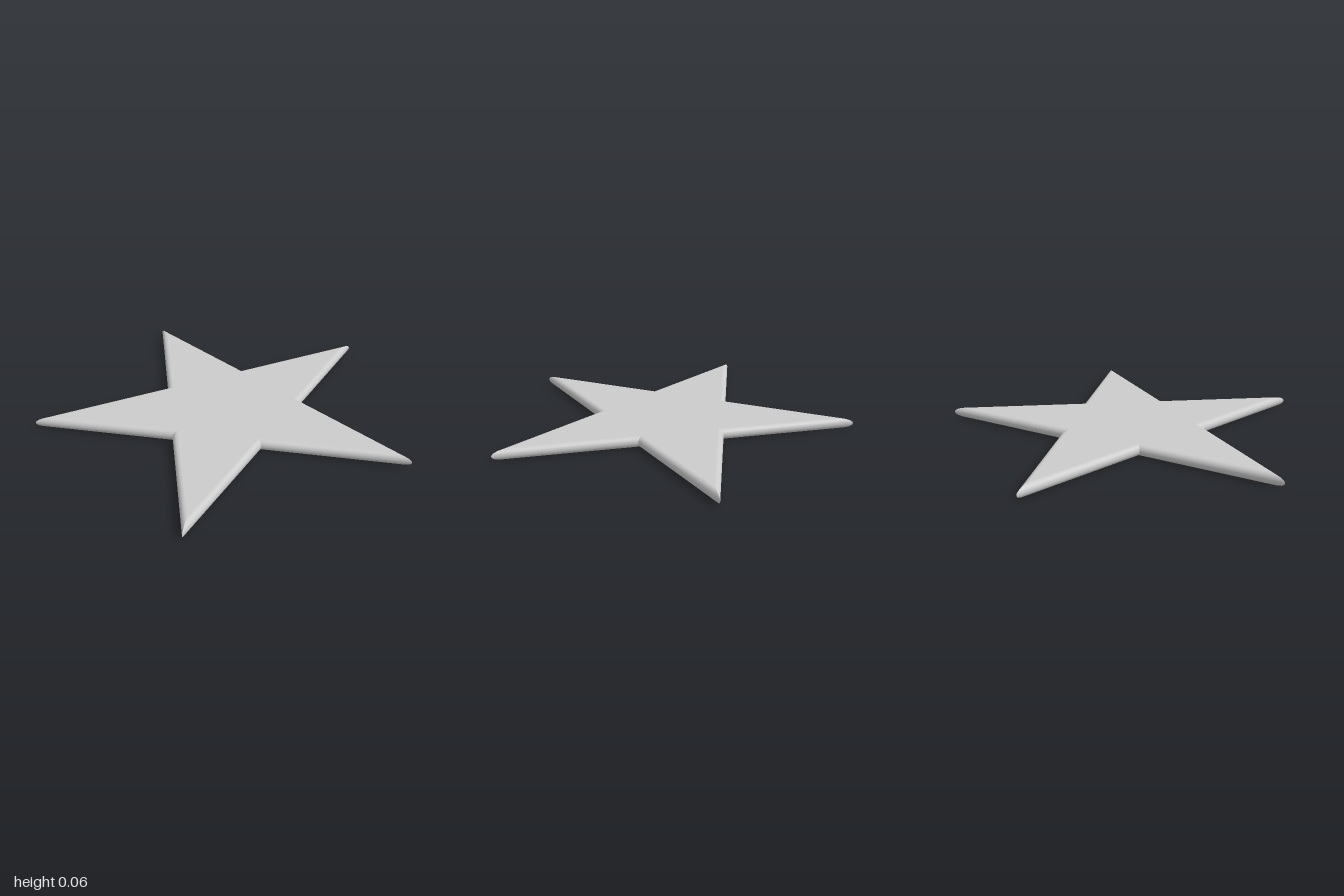
import * as THREE from 'three';
import { mergeGeometries } from 'three/addons/utils/BufferGeometryUtils.js';

const TIP = 1.0515;                                    // centre to tip
const NOTCH = TIP * Math.cos(Math.PI * 0.4) / Math.cos(Math.PI / 5);
const INRADIUS = TIP * Math.cos(Math.PI * 0.4);        // centre to edge line
const SHIFT_Z = TIP * (1 - Math.cos(Math.PI / 5)) / 2; // centres the star on z
const HALF = 0.03;                                     // half thickness
const BEVEL = 0.028;                                   // width of the rounded rim
const STEPS = 10;

// Star corner k (even = notch, odd = tip), with every edge moved in by inset
function corner(k, inset) {
  const r = (k % 2 ? TIP : NOTCH) * (1 - inset / INRADIUS);
  const a = k * Math.PI / 5;
  return [Math.sin(a) * r, Math.cos(a) * r + SHIFT_Z];
}

// Half-round strip along one edge, kept separate so the corners stay sharp
function edgeStrip(k) {
  const pos = [], index = [];
  for (let j = 0; j <= STEPS; j++) {
    const t = (j / STEPS - 0.5) * Math.PI;
    const y = HALF + HALF * Math.sin(t);
    for (const c of [k, k + 1]) {
      const [x, z] = corner(c, BEVEL * (1 - Math.cos(t)));
      pos.push(x, y, z);
    }
    if (j < STEPS) {
      const i = 2 * j;
      index.push(i, i + 1, i + 3, i, i + 3, i + 2);
    }
  }
  const g = new THREE.BufferGeometry();
  g.setAttribute('position', new THREE.Float32BufferAttribute(pos, 3));
  g.setIndex(index);
  g.computeVertexNormals();
  return g;
}

export function createModel() {
  const group = new THREE.Group();
  group.name = 'star';
  const material = new THREE.MeshStandardMaterial({ color: 0xcccccc });
  const add = (name, geometry) => {
    const mesh = new THREE.Mesh(geometry, material);
    mesh.name = name;
    group.add(mesh);
  };

  // Rounded rim around all ten edges
  add('roundedRim', mergeGeometries(Array.from({ length: 10 }, (_, k) => edgeStrip(k))));

  // Flat top and bottom faces
  const face = (sign) => {
    const outline = Array.from({ length: 10 }, (_, k) => {
      const [x, z] = corner(k, BEVEL);
      return new THREE.Vector2(x, -sign * z);
    });
    return new THREE.ShapeGeometry(new THREE.Shape(outline)).rotateX(-sign * Math.PI / 2);
  };
  add('topFace', face(1).translate(0, 2 * HALF, 0));
  add('bottomFace', face(-1));
  return group;
}
